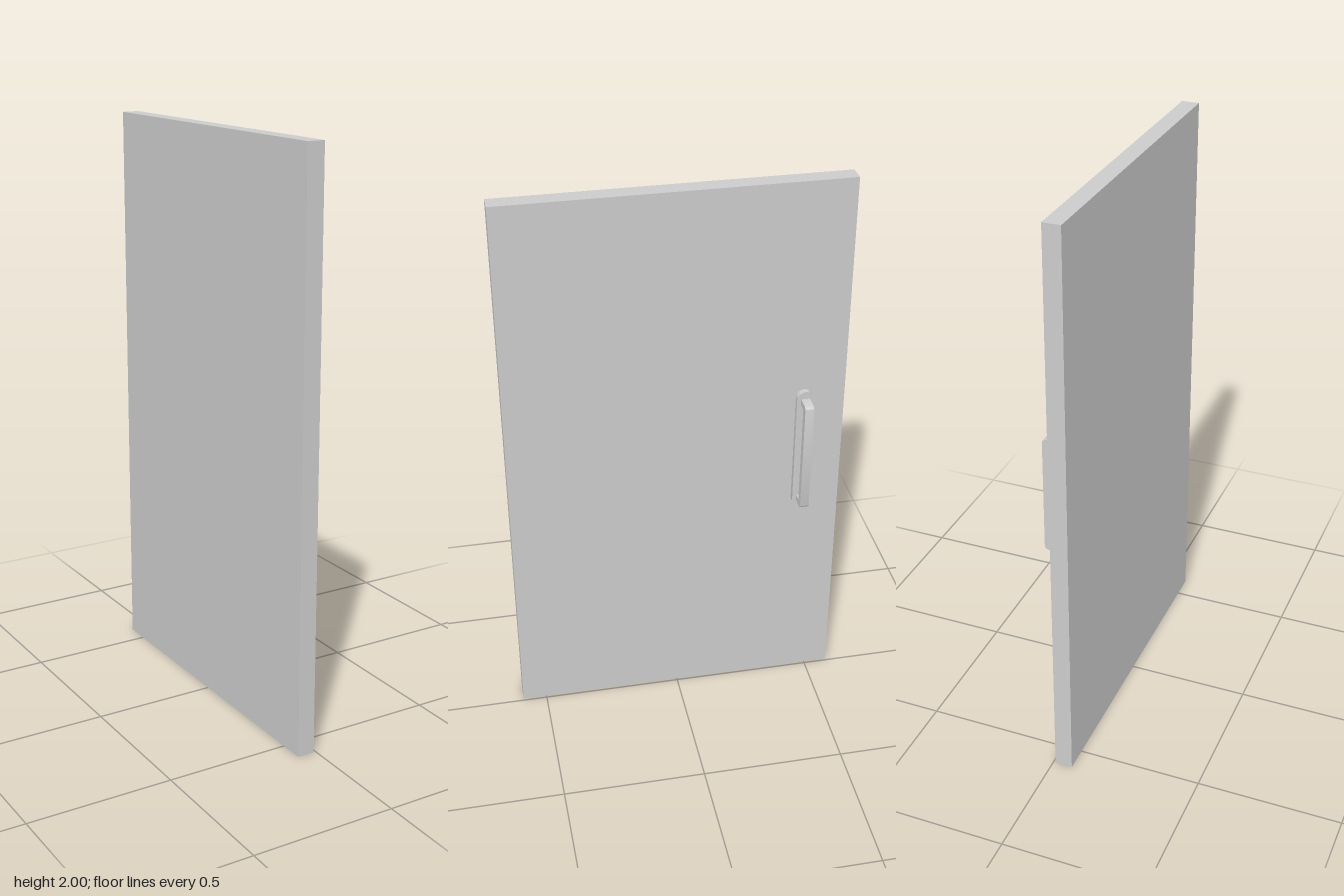
import * as THREE from 'three';
import { toCreasedNormals } from 'three/addons/utils/BufferGeometryUtils.js';

const material = new THREE.MeshStandardMaterial({ color: 0xcccccc });
const HANDLE_Y = 1.003, HANDLE_Z = -0.443;

function addPart(group, name, geometry, x, y, z) {
  const mesh = new THREE.Mesh(geometry, material);
  mesh.name = name;
  mesh.position.set(x, y, z);
  group.add(mesh);
}

// Extrude a shape symmetrically about its own plane, keeping hard edges sharp
function extrude(shape, depth) {
  const geometry = new THREE.ExtrudeGeometry(shape, { depth, bevelEnabled: false, curveSegments: 16 });
  geometry.translate(0, 0, -depth / 2);
  return toCreasedNormals(geometry, 0.6);
}

// Upright capsule outline for the mounting plate
function capsuleShape(radius, height) {
  const s = height / 2 - radius;
  const shape = new THREE.Shape();
  shape.absarc(0, s, radius, 0, Math.PI, false);
  shape.absarc(0, -s, radius, Math.PI, Math.PI * 2, false);
  shape.closePath();
  return shape;
}

// U-shaped pull: two arms and a grip, with rounded outer corners
function pullShape(reach, height, arm, grip, r) {
  const h = height / 2;
  const shape = new THREE.Shape();
  shape.moveTo(0, -h);
  shape.lineTo(reach - r, -h);
  shape.absarc(reach - r, -h + r, r, -Math.PI / 2, 0, false);
  shape.lineTo(reach, h - r);
  shape.absarc(reach - r, h - r, r, 0, Math.PI / 2, false);
  shape.lineTo(0, h);
  shape.lineTo(0, h - arm);
  shape.lineTo(reach - grip, h - arm);
  shape.lineTo(reach - grip, -h + arm);
  shape.lineTo(0, -h + arm);
  shape.closePath();
  return shape;
}

export function createModel() {
  const group = new THREE.Group();
  group.name = 'door';

  // Door slab
  addPart(group, 'doorPanel', new THREE.BoxGeometry(0.061, 2, 1.172), -0.0385, 1, 0);

  // Handle on the +x face
  const handle = new THREE.Group();
  handle.name = 'handle';
  const plate = extrude(capsuleShape(0.029, 0.472), 0.02).rotateY(Math.PI / 2);
  addPart(handle, 'handlePlate', plate, 0.002, HANDLE_Y, HANDLE_Z);
  const pull = extrude(pullShape(0.057, 0.418, 0.022, 0.026, 0.014), 0.031);
  addPart(handle, 'handlePull', pull, 0.012, HANDLE_Y, HANDLE_Z);
  group.add(handle);

  return group;
}
